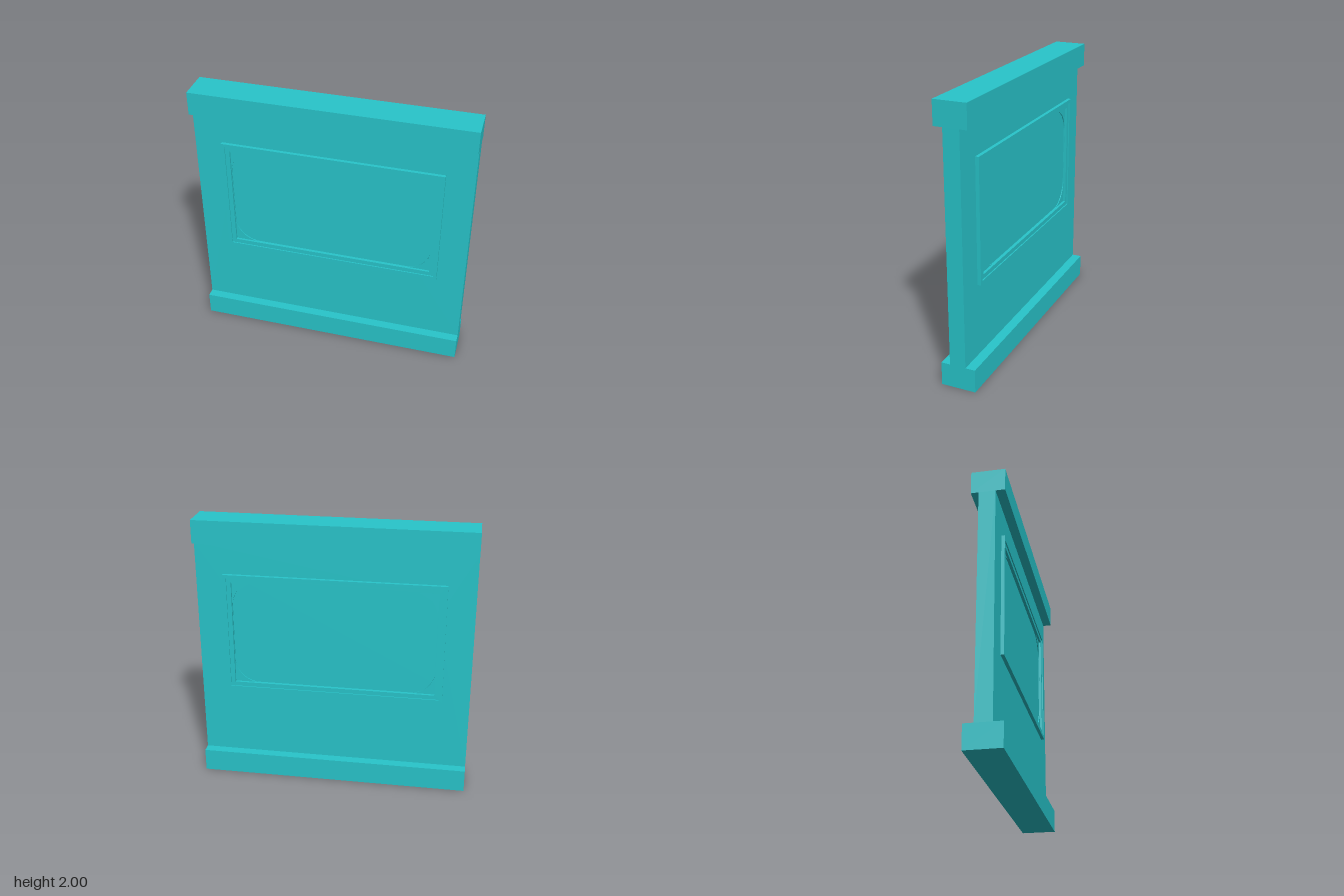
import * as THREE from 'three';

const material = new THREE.MeshStandardMaterial({ color: 0x28c5cb });
const CY = 1.15; // height of the window centre

// Rectangle outline with optional corner radius, centred on the window
function outline(target, w, h, r = 0) {
  const x = w / 2, y = h / 2;
  target.moveTo(-x + r, CY - y);
  target.lineTo(x - r, CY - y);
  if (r) target.absarc(x - r, CY - y + r, r, -Math.PI / 2, 0);
  target.lineTo(x, CY + y - r);
  if (r) target.absarc(x - r, CY + y - r, r, 0, Math.PI / 2);
  target.lineTo(-x + r, CY + y);
  if (r) target.absarc(-x + r, CY + y - r, r, Math.PI / 2, Math.PI);
  target.lineTo(-x, CY - y + r);
  if (r) target.absarc(-x + r, CY - y + r, r, Math.PI, Math.PI * 1.5);
  target.closePath();
  return target;
}

export function createModel() {
  const group = new THREE.Group();

  const add = (name, geometry) => {
    const mesh = new THREE.Mesh(geometry, material);
    mesh.name = name;
    group.add(mesh);
  };
  const beam = (name, y0, y1, z0, z1) =>
    add(name, new THREE.BoxGeometry(2, y1 - y0, z1 - z0).translate(0, (y0 + y1) / 2, (z0 + z1) / 2));
  const slab = (name, shape, z0, z1) =>
    add(name, new THREE.ExtrudeGeometry(shape, { depth: z1 - z0, bevelEnabled: false, curveSegments: 10 }).translate(0, 0, z0));

  // Top and bottom beams
  beam('topBeam', 1.83, 2, -0.11, 0.127);
  beam('bottomBeam', 0, 0.17, -0.127, 0.127);

  // Wall with a rounded window opening
  const wall = new THREE.Shape([[-1, 0.17], [1, 0.17], [1, 1.83], [-1, 1.83]].map(p => new THREE.Vector2(...p)));
  wall.holes.push(outline(new THREE.Path(), 1.48, 0.785, 0.18));
  slab('wall', wall, -0.056, 0.061);

  // Window pane, just below the wall surface on both sides
  slab('windowPane', outline(new THREE.Shape(), 1.48, 0.785, 0.18), -0.05, 0.055);

  // Stepped frame on each face: a proud outer rim and a slightly lower inner lip
  const ring = (w, h, iw, ih) => {
    const shape = outline(new THREE.Shape(), w, h);
    shape.holes.push(outline(new THREE.Path(), iw, ih));
    return shape;
  };
  const rim = ring(1.6, 0.9, 1.55, 0.85), lip = ring(1.55, 0.85, 1.485, 0.785);
  slab('frontFrameRim', rim, 0.061, 0.085);
  slab('frontFrameLip', lip, 0.061, 0.077);
  slab('backFrameRim', rim, -0.082, -0.056);
  slab('backFrameLip', lip, -0.074, -0.056);

  return group;
}
